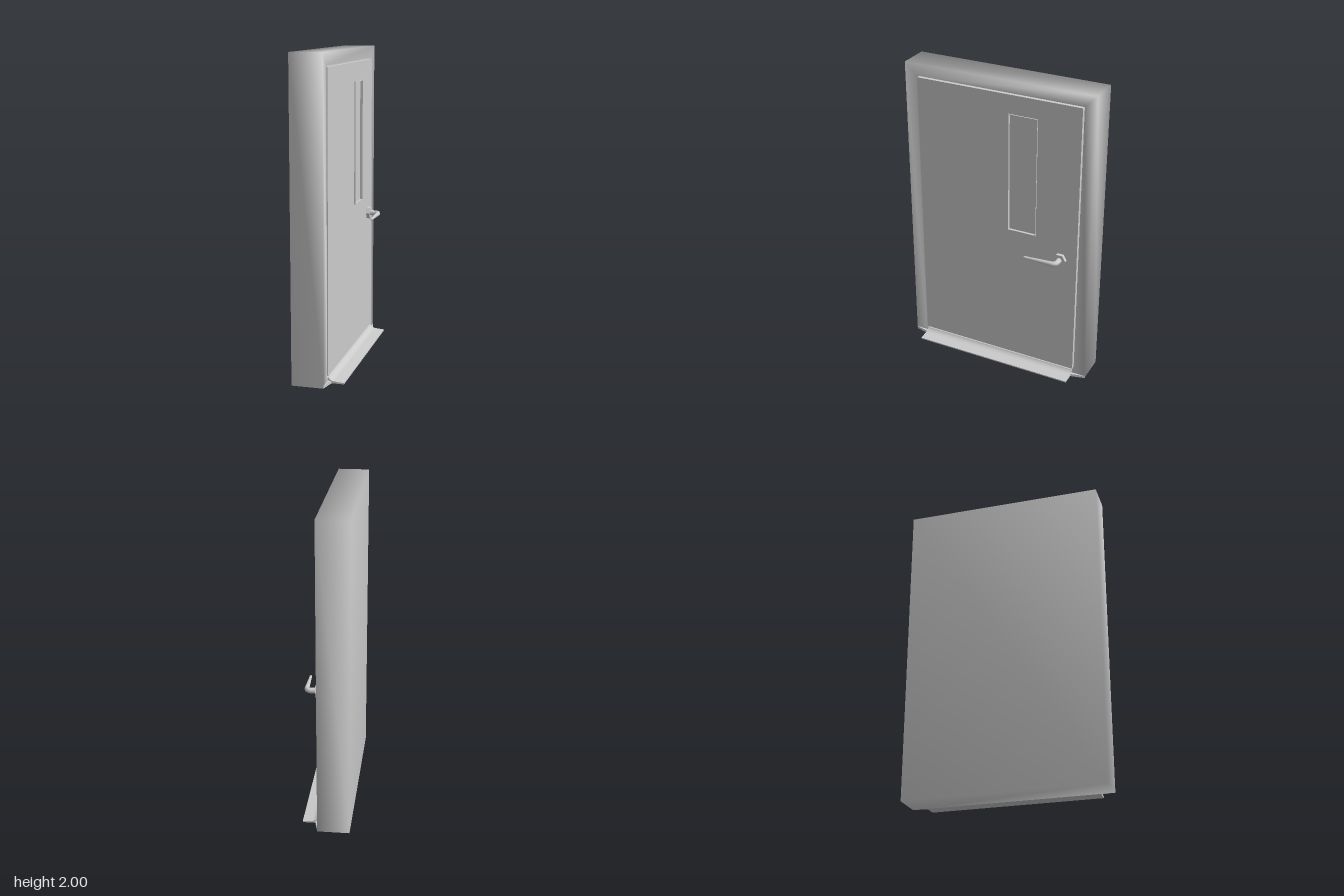
import * as THREE from 'three';
import { mergeVertices } from 'three/addons/utils/BufferGeometryUtils.js';

const material = new THREE.MeshStandardMaterial({ color: 0xcccccc });

function add(group, name, geometry) {
  const mesh = new THREE.Mesh(geometry, material);
  mesh.name = name;
  group.add(mesh);
  return mesh;
}

// Solid lofted through upright rectangles [x, half width in z, bottom, top], smooth across its edges
function loftRects(rects) {
  const pos = [], index = [];
  for (const [x, h, y0, y1] of rects) pos.push(x, y0, h, x, y0, -h, x, y1, -h, x, y1, h);
  for (let i = 0; i < rects.length - 1; i++) {
    for (let j = 0; j < 4; j++) {
      const a = i * 4 + j, b = i * 4 + (j + 1) % 4;
      index.push(a, b, b + 4, a, b + 4, a + 4);
    }
  }
  const n = (rects.length - 1) * 4;
  index.push(0, 2, 1, 0, 3, 2, n, n + 1, n + 2, n, n + 2, n + 3);
  const g = new THREE.BufferGeometry();
  g.setAttribute('position', new THREE.Float32BufferAttribute(pos, 3));
  g.setIndex(index);
  g.computeVertexNormals();
  return g;
}

// Rectangle in (-z, y), ready to be extruded along x
function rect(path, z0, z1, y0, y1) {
  path.moveTo(-z1, y0);
  path.lineTo(-z0, y0);
  path.lineTo(-z0, y1);
  path.lineTo(-z1, y1);
  path.closePath();
  return path;
}

// Plate facing +x between x0 and x1, with an optional rectangular hole
function plate(x0, x1, outer, hole) {
  const shape = rect(new THREE.Shape(), ...outer);
  if (hole) shape.holes.push(rect(new THREE.Path(), ...hole));
  return new THREE.ExtrudeGeometry(shape, { depth: x1 - x0, bevelEnabled: false })
    .rotateY(Math.PI / 2).translate(x0, 0, 0);
}

// Tube whose radius follows radiusAt(t)
function taperedTube(curve, segments, radial, radiusAt) {
  const g = new THREE.TubeGeometry(curve, segments, 1, radial);
  const p = g.attributes.position, v = new THREE.Vector3();
  for (let i = 0; i <= segments; i++) {
    const c = curve.getPointAt(i / segments);
    for (let j = 0; j <= radial; j++) {
      const k = i * (radial + 1) + j;
      v.fromBufferAttribute(p, k).sub(c).multiplyScalar(radiusAt(i / segments)).add(c);
      p.setXYZ(k, v.x, v.y, v.z);
    }
  }
  g.deleteAttribute('uv');
  g.deleteAttribute('normal');
  const merged = mergeVertices(g, 1e-5);
  merged.computeVertexNormals();
  return merged;
}

export function createModel() {
  const model = new THREE.Group();
  model.name = 'door';

  // Surround with a shallow pocket for the leaf
  add(model, 'doorFrame', loftRects([
    [-0.155, 0.64, 0, 2],
    [0.048, 0.64, 0, 2],
    [0.048, 0.562, 0.042, 1.922],
    [0.025, 0.562, 0.042, 1.922],
  ]));

  // Leaf with window opening
  const opening = [-0.27, -0.075, 0.995, 1.79];
  add(model, 'doorLeaf', plate(0.024, 0.052, [-0.553, 0.553, 0.051, 1.913], opening));

  // Window: thin raised rim and pane
  const t = 0.005;
  const inner = [opening[0] + t, opening[1] - t, opening[2] + t, opening[3] - t];
  add(model, 'windowRim', plate(0.03, 0.06, opening, inner));
  add(model, 'windowPane', plate(0.03, 0.043, inner));

  // Projecting weather sill
  const profile = new THREE.Shape();
  profile.moveTo(0.03, 0.004);
  profile.lineTo(0.15, 0.004);
  profile.lineTo(0.15, 0.012);
  profile.lineTo(0.085, 0.018);
  profile.quadraticCurveTo(0.06, 0.022, 0.05, 0.043);
  profile.lineTo(0.03, 0.043);
  add(model, 'sill', new THREE.ExtrudeGeometry(profile, { depth: 1.1, bevelEnabled: false, curveSegments: 5 })
    .translate(0, 0, -0.55));

  // Tapered ends running the sill out to the frame corners
  const plan = new THREE.Shape([[0.04, -0.64], [0.048, -0.64], [0.07, -0.55], [0.07, 0.55], [0.048, 0.64], [0.04, 0.64]]
    .map(([x, y]) => new THREE.Vector2(x, y)));
  add(model, 'sillEnds', new THREE.ExtrudeGeometry(plan, { depth: 0.017, bevelEnabled: false })
    .rotateX(-Math.PI / 2).translate(0, 0.002, 0));

  // Lever handle on a six-sided rose
  const handle = new THREE.Group();
  handle.name = 'handle';
  handle.position.set(0, 0.874, -0.443);
  model.add(handle);
  const rose = new THREE.CylinderGeometry(0.042, 0.042, 0.026, 6).toNonIndexed();
  rose.computeVertexNormals();
  add(handle, 'rose', rose.rotateZ(-Math.PI / 2).translate(0.062, 0, 0));

  const path = new THREE.CurvePath();
  const V = (x, y, z) => new THREE.Vector3(x, y, z);
  path.add(new THREE.LineCurve3(V(0.06, 0, 0), V(0.105, 0, 0)));
  path.add(new THREE.QuadraticBezierCurve3(V(0.105, 0, 0), V(0.13, 0, 0), V(0.132, 0, 0.035)));
  path.add(new THREE.LineCurve3(V(0.132, 0, 0.035), V(0.132, -0.002, 0.223)));
  add(handle, 'lever', taperedTube(path, 40, 12, (s) =>
    (0.019 - 0.010 * Math.min(1, s * 1.2)) * (s > 0.999 ? 0.001 : s > 0.97 ? 0.8 : 1)));

  return model;
}
